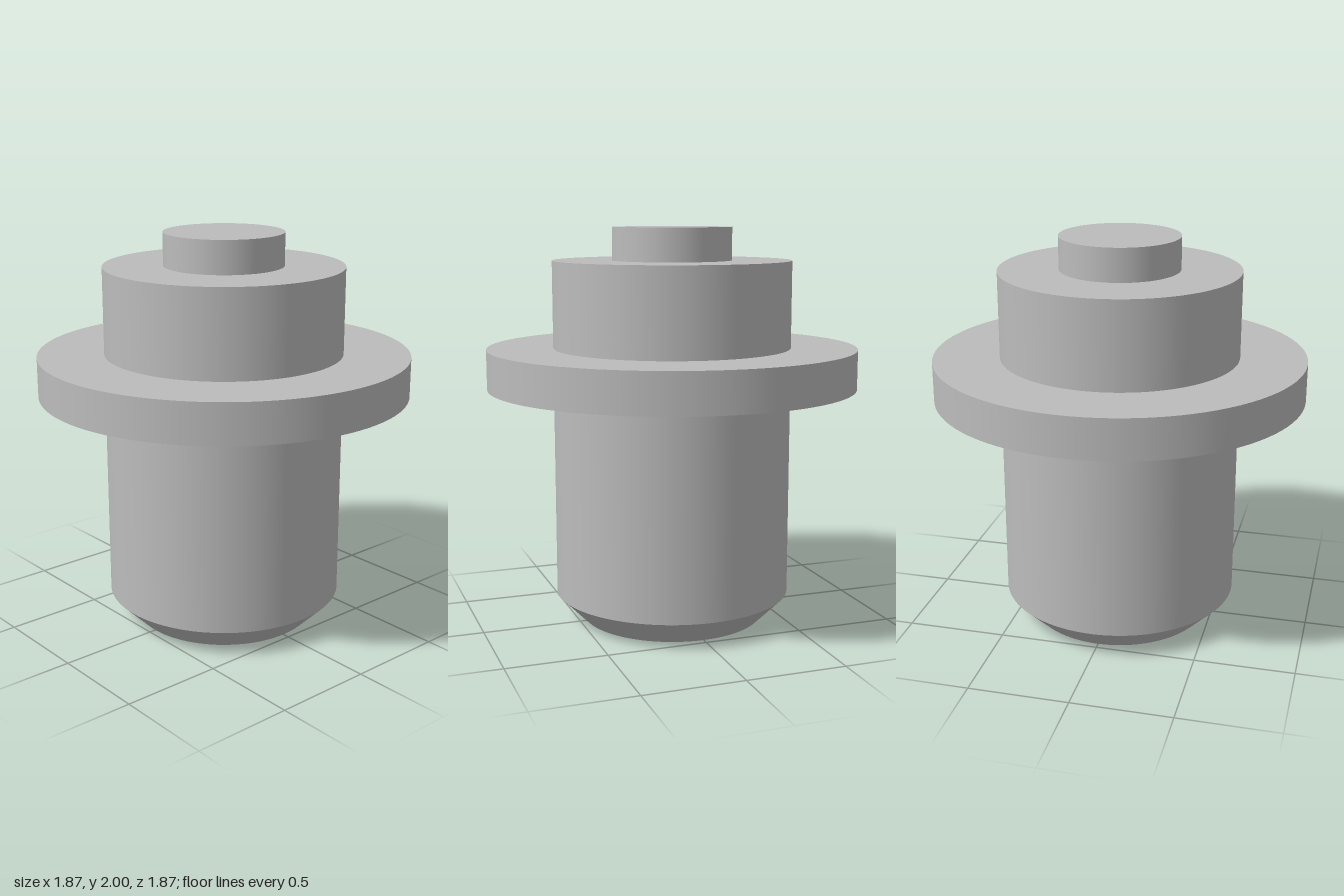
import * as THREE from 'three';
import { mergeGeometries } from 'three/addons/utils/BufferGeometryUtils.js';

const SEGMENTS = 96;

// Turn each stretch of the profile on its own, so edges between them stay sharp.
function turned(profile) {
  const bands = [];
  for (let i = 0; i < profile.length - 1; i++) {
    const ends = [profile[i], profile[i + 1]].map(([r, y]) => new THREE.Vector2(r, y));
    bands.push(new THREE.LatheGeometry(ends, SEGMENTS));
  }
  return mergeGeometries(bands);
}

export function createModel() {
  const group = new THREE.Group();
  group.name = 'flangedPlug';
  const grey = new THREE.MeshStandardMaterial({ color: 0xbcbcbc });
  grey.name = 'grey metal';

  const bodyR = 0.6, flangeR = 0.933, pinR = 0.3, chamfer = 0.135;
  const flangeBottom = 1.2, flangeTop = 1.4, collarTop = 1.835, pinTop = 2;

  // Profiles of [radius, height], running up the outside from bottom to top
  const parts = {
    chamferedBase: [[0, 0], [bodyR - chamfer, 0], [bodyR, chamfer]],
    shaft: [[bodyR, chamfer], [bodyR, flangeBottom]],
    flange: [[bodyR, flangeBottom], [flangeR, flangeBottom], [flangeR, flangeTop], [bodyR, flangeTop]],
    collar: [[bodyR, flangeTop], [bodyR, collarTop], [pinR, collarTop]],
    topPin: [[pinR, collarTop], [pinR, pinTop], [0, pinTop]],
  };
  for (const [name, profile] of Object.entries(parts)) {
    const mesh = new THREE.Mesh(turned(profile), grey);
    mesh.name = name;
    group.add(mesh);
  }
  return group;
}
